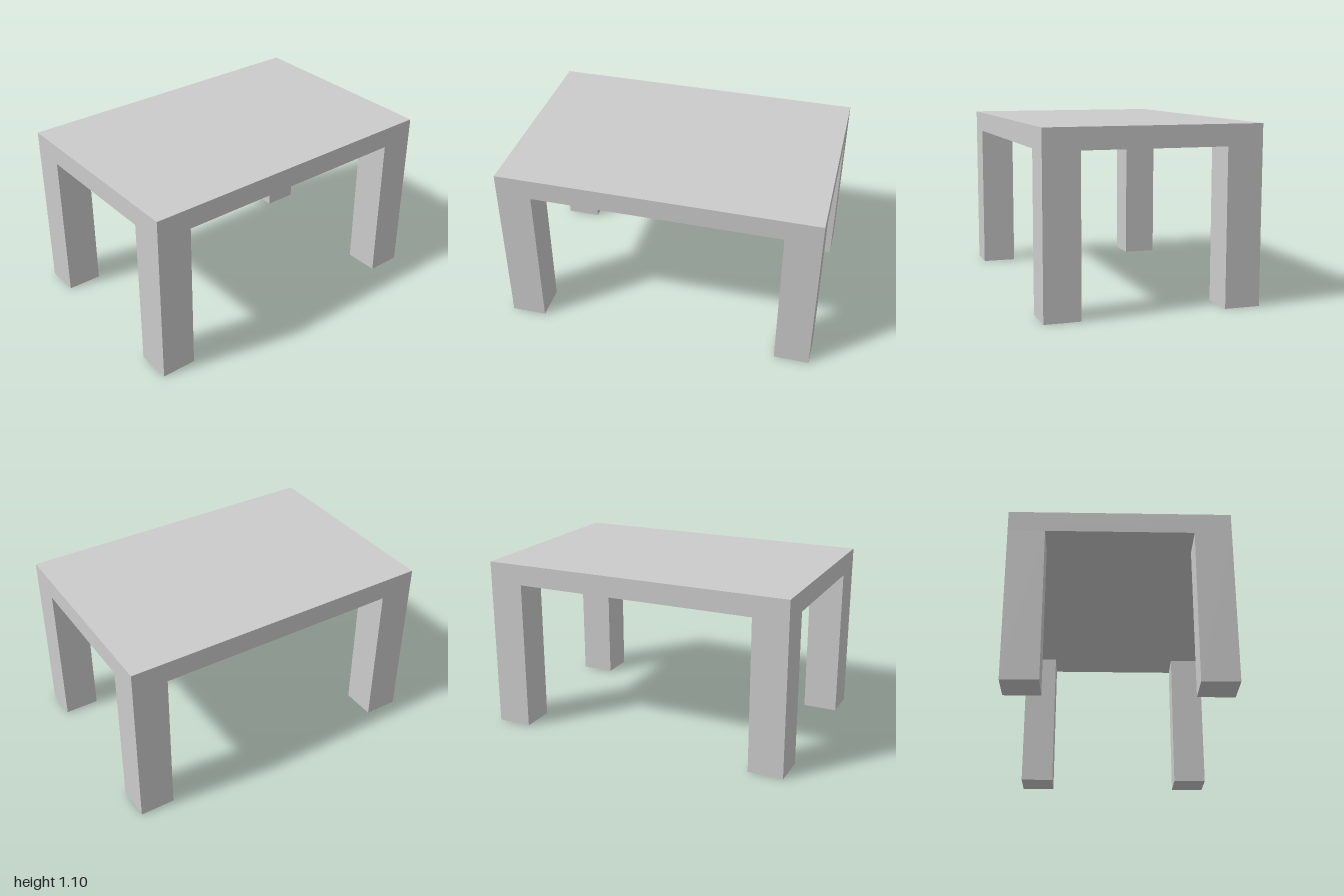
import * as THREE from 'three';

const WIDTH = 1.333, DEPTH = 2, HEIGHT = 1.098;
const TOP = 0.131, LEG = 0.222;

export function createModel() {
  const table = new THREE.Group();
  table.name = 'table';
  const material = new THREE.MeshStandardMaterial({ color: 0xcccccc, flatShading: true });

  // Solid slab top
  const top = new THREE.Mesh(new THREE.BoxGeometry(WIDTH, TOP, DEPTH), material);
  top.name = 'tableTop';
  top.position.y = HEIGHT - TOP / 2;
  table.add(top);

  // Four square legs, flush with the corners
  const legHeight = HEIGHT - TOP;
  const legGeometry = new THREE.BoxGeometry(LEG, legHeight, LEG);
  for (const [side, sx] of [['Left', 1], ['Right', -1]]) {
    for (const [end, sz] of [['front', 1], ['back', -1]]) {
      const leg = new THREE.Mesh(legGeometry, material);
      leg.name = `${end}${side}Leg`;
      leg.position.set(sx * (WIDTH - LEG) / 2, legHeight / 2, sz * (DEPTH - LEG) / 2);
      table.add(leg);
    }
  }
  return table;
}
